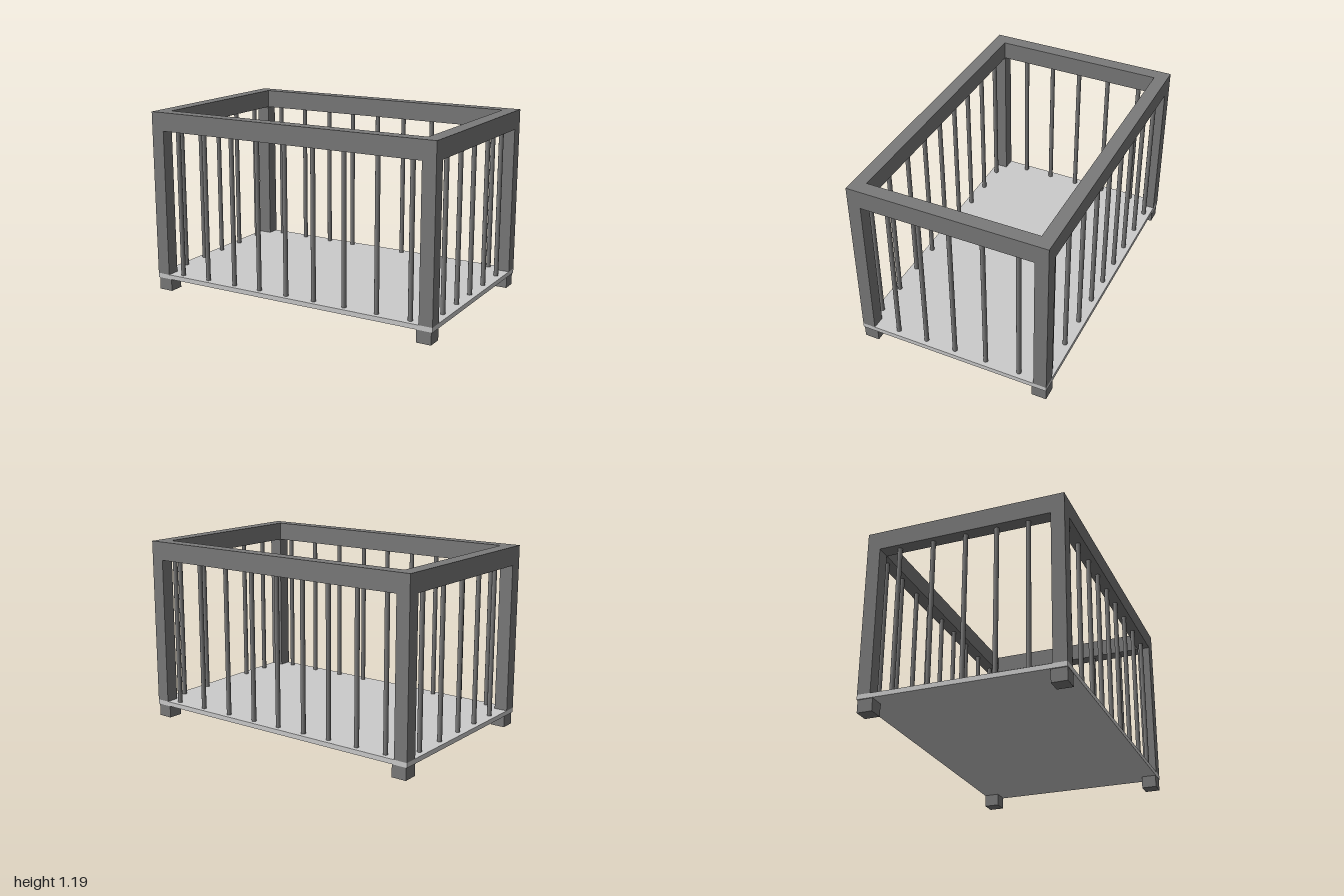
import * as THREE from 'three';

const W = 1, D = 0.638;              // half width and half depth
const FLOOR = 0.11, RAIL = 1.07, TOP = 1.19;

export function createModel() {
  const group = new THREE.Group();
  const dark = new THREE.MeshStandardMaterial({ color: 0x7a7a7a });
  const light = new THREE.MeshStandardMaterial({ color: 0xcccccc });

  function add(name, geometry, material, x, y, z) {
    const mesh = new THREE.Mesh(geometry, material);
    mesh.name = name;
    mesh.position.set(x, y, z);
    group.add(mesh);
  }

  // Floor panel
  add('floor', new THREE.BoxGeometry(2 * W, 0.03, 2 * D), light, 0, FLOOR - 0.015, 0);

  // Top rail: one rectangular ring
  const rect = (Type, w, d) => new Type([
    new THREE.Vector2(-w, -d), new THREE.Vector2(w, -d),
    new THREE.Vector2(w, d), new THREE.Vector2(-w, d),
  ]);
  const ring = rect(THREE.Shape, W, D);
  ring.holes.push(rect(THREE.Path, 0.909, 0.553));
  const rail = new THREE.ExtrudeGeometry(ring, { depth: TOP - RAIL, bevelEnabled: false });
  rail.rotateX(-Math.PI / 2);
  add('topRail', rail, dark, 0, RAIL, 0);

  // Corner posts and feet
  const post = new THREE.BoxGeometry(0.088, RAIL - FLOOR, 0.085);
  const foot = new THREE.BoxGeometry(0.096, 0.08, 0.097);
  for (const sx of [-1, 1]) {
    for (const sz of [-1, 1]) {
      add('cornerPost', post, dark, sx * (W - 0.044), (RAIL + FLOOR) / 2, sz * (D - 0.0425));
      add('foot', foot, dark, sx * 0.944, 0.04, sz * 0.587);
    }
  }

  // Round bars along all four sides
  const bar = new THREE.CylinderGeometry(0.015, 0.015, RAIL - FLOOR, 16);
  const barY = (RAIL + FLOOR) / 2;
  const longSide = [-0.825, -0.62, -0.412, -0.22, -0.02, 0.18, 0.394, 0.616, 0.838];
  const shortSide = [0.4, 0.2, 0, -0.213, -0.437];
  for (const s of [-1, 1]) {
    for (const x of longSide) add(s > 0 ? 'frontBar' : 'backBar', bar, dark, x, barY, s * 0.595);
    for (const z of shortSide) add(s > 0 ? 'leftBar' : 'rightBar', bar, dark, s * 0.955, barY, z);
  }
  return group;
}
